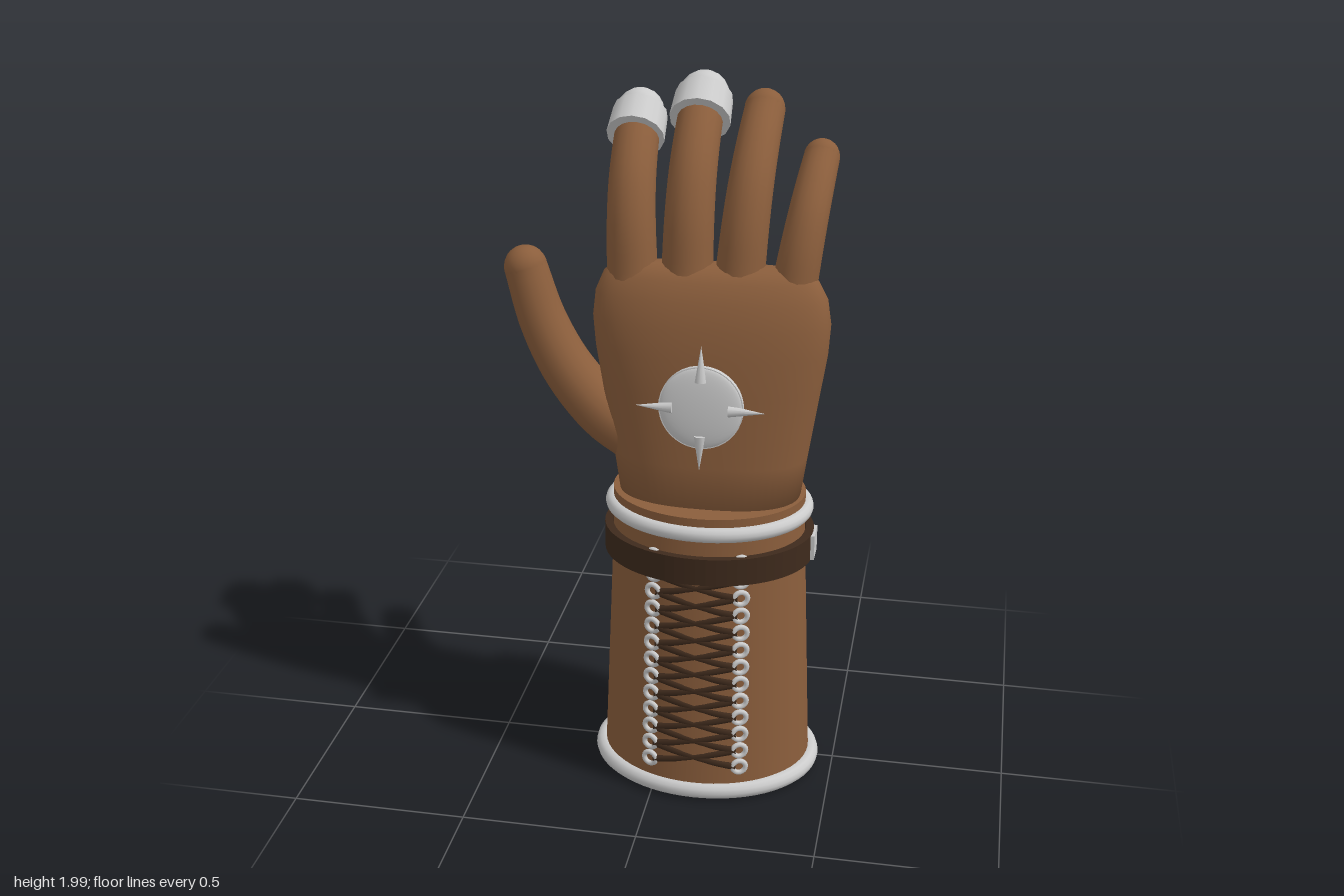
import * as THREE from 'three';
import { mergeVertices } from 'three/addons/utils/BufferGeometryUtils.js';

const leather = new THREE.MeshStandardMaterial({ color: 0x8b5e3c, side: THREE.DoubleSide });
const darkLeather = new THREE.MeshStandardMaterial({ color: 0x3e2a1c });
const metal = new THREE.MeshStandardMaterial({ color: 0xcccccc });

// Forearm axis and its elliptical half-sizes at a height
const CX = 0.125, CZ = 0.035;
const armX = y => 0.305 - 0.042 * y;
const armZ = y => 0.25 - 0.042 * y;
const frontZ = (x, y) => CZ + armZ(y) * Math.sqrt(1 - ((x - CX) / armX(y)) ** 2);
const V = (x, y, z) => new THREE.Vector3(x, y, z);

function add(parent, name, geometry, material, x = 0, y = 0, z = 0) {
  const mesh = new THREE.Mesh(geometry, material);
  mesh.name = name;
  mesh.position.set(x, y, z);
  parent.add(mesh);
  return mesh;
}

function smooth(geometry) {
  geometry.deleteAttribute('uv');
  geometry.deleteAttribute('normal');
  const merged = mergeVertices(geometry, 1e-5);
  merged.computeVertexNormals();
  return merged;
}

// Elliptical ring of round section
function ringTrim(parent, name, y, rx, rz, tube) {
  const geo = new THREE.TorusGeometry(1, tube, 12, 64).rotateX(Math.PI / 2);
  const p = geo.attributes.position;
  for (let i = 0; i < p.count; i++) {
    const x = p.getX(i), z = p.getZ(i), r = Math.hypot(x, z);
    p.setX(i, (x / r) * (rx + r - 1));
    p.setZ(i, (z / r) * (rz + r - 1));
  }
  add(parent, name, smooth(geo), metal, CX, y, CZ);
}

// Tube narrowing from r0 to r1 along a curve, with a ball at its end
function digit(parent, name, points, r0, r1) {
  const group = new THREE.Group();
  group.name = name;
  const curve = new THREE.CatmullRomCurve3(points);
  const rows = 20, sides = 18;
  const geo = new THREE.TubeGeometry(curve, rows, 1, sides);
  const p = geo.attributes.position, v = V(0, 0, 0);
  for (let i = 0; i < p.count; i++) {
    const t = Math.floor(i / (sides + 1)) / rows;
    const c = curve.getPointAt(t);
    v.fromBufferAttribute(p, i).sub(c).multiplyScalar(r0 + (r1 - r0) * t).add(c);
    p.setXYZ(i, v.x, v.y, v.z);
  }
  add(group, name + 'Shaft', smooth(geo), leather);
  const tip = points[points.length - 1];
  add(group, name + 'Tip', new THREE.SphereGeometry(r1, 18, 12), leather, tip.x, tip.y, tip.z);
  parent.add(group);
  return { group, tip };
}

function buildCuff(g) {
  // Hollow sleeve, open below
  const t = 0.025;
  const profile = [[0.83, 0.85 - 0.02], [0.02, 0.02]];
  const wall = inset => {
    const geo = new THREE.CylinderGeometry(1, 1, 0.85, 64, 8, true).translate(0, 0.445, 0);
    const p = geo.attributes.position;
    for (let i = 0; i < p.count; i++) {
      const y = p.getY(i);
      p.setX(i, p.getX(i) * (armX(y) - inset));
      p.setZ(i, p.getZ(i) * (armZ(y) - inset));
    }
    return smooth(geo);
  };
  add(g, 'cuff', wall(0), leather, CX, 0, CZ);
  add(g, 'cuffLining', wall(t), leather, CX, 0, CZ);
  const lip = add(g, 'wristLip', new THREE.CylinderGeometry(1, 1, 0.03, 64), leather, CX, 0.866, CZ);
  lip.scale.set(0.272, 1, 0.217);
  ringTrim(g, 'lowerTrim', 0.027, 0.308, 0.243, 0.025);
  ringTrim(g, 'upperTrim', 0.835, 0.273, 0.216, 0.022);

  // Strap and buckle
  const band = [[0.975, -0.04], [1, -0.04], [1, 0.04], [0.975, 0.04], [0.92, 0.04], [0.92, -0.04], [0.975, -0.04]];
  const strapGeo = new THREE.LatheGeometry(band.map(a => new THREE.Vector2(...a)), 64).toNonIndexed();
  strapGeo.scale(0.298, 1, 0.24);
  strapGeo.computeVertexNormals();
  add(g, 'strap', strapGeo, darkLeather, CX, 0.73, CZ);
  add(g, 'buckle', new THREE.BoxGeometry(0.03, 0.074, 0.074), metal, 0.415, 0.73, CZ);
}

function buildLacing(g) {
  const count = 13, yAt = i => 0.107 + 0.0535 * i;
  const half = y => 0.131 - 0.012 * y;
  const eyelet = new THREE.TorusGeometry(0.019, 0.0075, 8, 18);
  for (let i = 0; i < count; i++) {
    for (const s of [-1, 1]) {
      const y = yAt(i), x = CX + s * half(y);
      const ring = add(g, 'eyelet', eyelet, metal, x, y, frontZ(x, y) + 0.004);
      ring.rotation.y = s * 0.33;
      if (i === count - 1) continue;
      // Lace crossing to the next eyelet on the other side
      const pts = [-1, -0.5, 0, 0.5, 1].map(k => {
        const ly = yAt(i + (k + 1) / 2), lx = CX - s * k * half(ly) * 0.92;
        return V(lx, ly, frontZ(lx, ly) - 0.009 * (1 - k * k) + 0.002);
      });
      add(g, 'lace', new THREE.TubeGeometry(new THREE.CatmullRomCurve3(pts), 12, 0.011, 6), darkLeather);
    }
  }
}

function buildPalm(g) {
  // Cross-sections: y, centre x, half width, centre z, half depth
  const rows = [
    [0.86, 0.128, 0, 0.035, 0], [0.86, 0.128, 0.252, 0.035, 0.156], [1.0, 0.128, 0.272, 0.036, 0.149],
    [1.2, 0.127, 0.303, 0.037, 0.136], [1.3, 0.126, 0.319, 0.036, 0.126], [1.38, 0.125, 0.325, 0.034, 0.115],
    [1.45, 0.123, 0.316, 0.03, 0.097], [1.5, 0.12, 0.292, 0.026, 0.074], [1.524, 0.12, 0.262, 0.024, 0.05],
    [1.532, 0.12, 0.22, 0.024, 0.025], [1.534, 0.12, 0, 0.024, 0]];
  const geo = new THREE.LatheGeometry(rows.map(r => new THREE.Vector2(1, r[0])), 64);
  const p = geo.attributes.position;
  const power = a => Math.sign(a) * Math.abs(a) ** 0.8;
  for (let i = 0; i < p.count; i++) {
    const [y, cx, hw, cz, hd] = rows[i % rows.length];
    p.setXYZ(i, cx + hw * power(p.getX(i)), y, cz + hd * power(p.getZ(i)));
  }
  add(g, 'palm', smooth(geo), leather);
}

function buildFingers(g) {
  // Base x, tip x, base y, tip y, tip z, base radius, tip radius, cap size
  const fingers = [
    ['indexFinger', -0.095, -0.115, 1.48, 1.88, -0.205, 0.07, 0.06, 0.08],
    ['middleFinger', 0.055, 0.057, 1.49, 1.925, -0.235, 0.071, 0.061, 0.084],
    ['ringFinger', 0.197, 0.226, 1.48, 1.9, -0.218, 0.068, 0.056, 0],
    ['littleFinger', 0.343, 0.39, 1.46, 1.79, -0.165, 0.062, 0.049, 0]];
  const bend = [[0, 0], [0.35, 0.1], [0.61, 0.29], [0.82, 0.6], [1, 1]];
  for (const [name, x0, x1, y0, y1, z1, r0, r1, cap] of fingers) {
    const z0 = 0.018;
    const pts = bend.map(([u, w]) => V(x0 + (x1 - x0) * u, y0 + (y1 - y0) * u, z0 + (z1 - z0) * w));
    const { group, tip } = digit(g, name, pts, r0, r1);
    if (!cap) continue;
    // Metal fingertip: collar and dome
    const dir = V(0, 0.56, -0.83);
    const at = tip.clone().addScaledVector(dir, -0.045);
    const collar = add(group, 'tipCollar', new THREE.CylinderGeometry(cap * 0.95, cap, 0.085, 14), metal, at.x, at.y, at.z);
    collar.quaternion.setFromUnitVectors(V(0, 1, 0), dir);
    add(group, 'tipDome', new THREE.SphereGeometry(cap * 0.84, 14, 10), metal, tip.x, tip.y, tip.z);
  }
  digit(g, 'thumb', [V(-0.08, 1.03, 0.04), V(-0.17, 1.085, 0.035), V(-0.275, 1.2, 0.025),
    V(-0.35, 1.335, 0.01), V(-0.4, 1.485, -0.005)], 0.085, 0.06);
}

function buildMedallion(g) {
  const medal = new THREE.Group();
  medal.name = 'medallion';
  medal.position.set(CX, 1.185, 0.194);
  medal.rotation.x = -0.06;
  add(medal, 'disc', new THREE.CylinderGeometry(0.115, 0.115, 0.016, 40).rotateX(Math.PI / 2), metal);
  const dome = add(medal, 'dome', new THREE.SphereGeometry(0.113, 40, 20), metal, 0, 0, 0.006);
  dome.scale.z = 0.14;
  for (let i = 0; i < 4; i++) {
    const arm = new THREE.Group();
    arm.name = 'spikeArm';
    arm.rotation.z = i * Math.PI / 2;
    add(arm, 'spike', new THREE.ConeGeometry(0.016, 0.1, 10), metal, 0, 0.126, 0.015);
    medal.add(arm);
  }
  g.add(medal);
}

export function createModel() {
  const model = new THREE.Group();
  model.name = 'gauntlet';
  for (const build of [buildCuff, buildLacing, buildPalm, buildFingers, buildMedallion]) build(model);
  return model;
}
